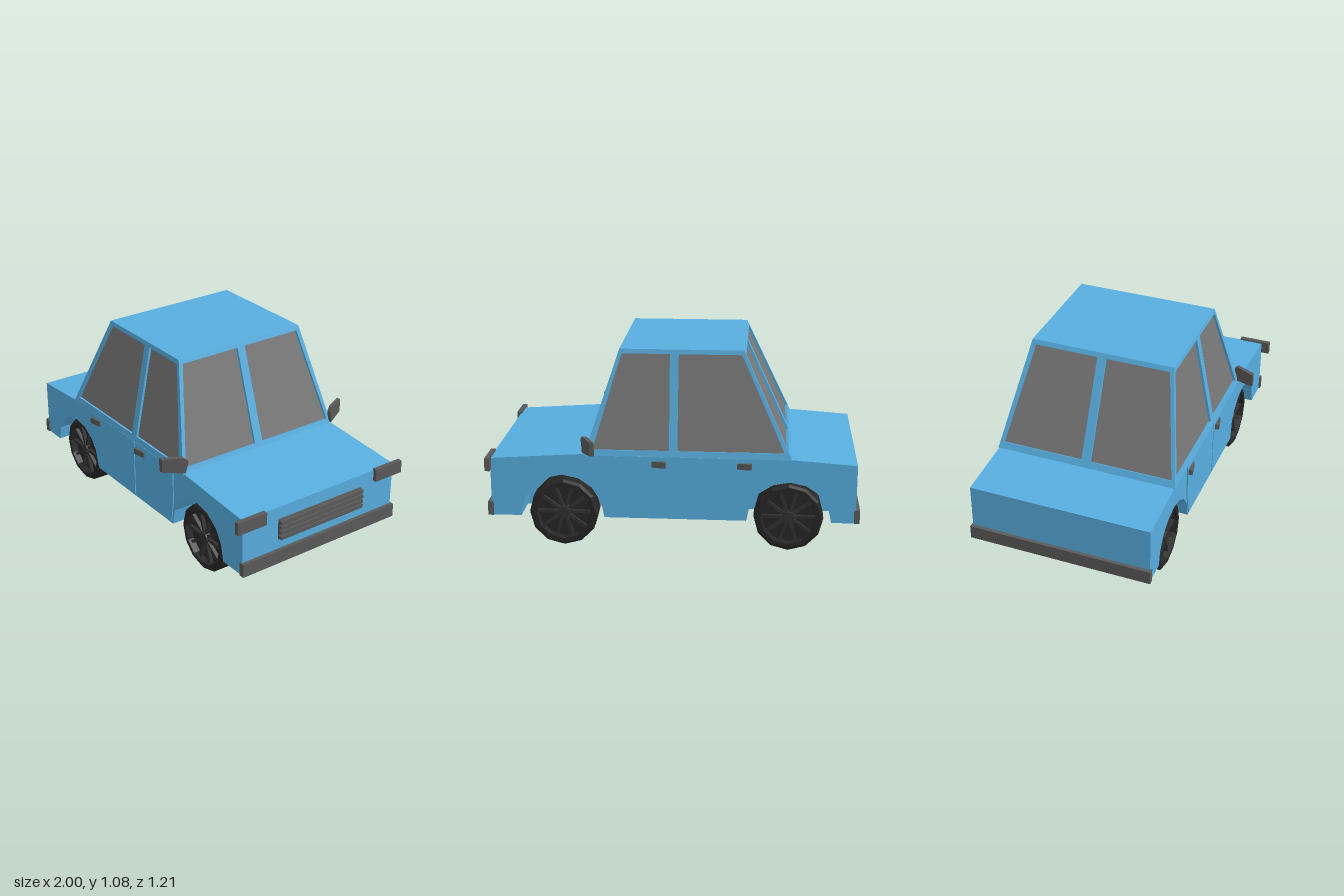
import * as THREE from 'three';

const mat = (color) => new THREE.MeshStandardMaterial({ color, flatShading: true });
const PAINT = mat(0x58aee0), GLASS = mat(0x777777), TRIM = mat(0x5a5a5a), TYRE = mat(0x262626), RIM = mat(0x303030);
const V = (x, y, z) => new THREE.Vector3(x, y, z);
const toShape = (pts) => new THREE.Shape(pts.map(([x, y]) => new THREE.Vector2(x, y)));

function add(parent, name, geometry, material, x = 0, y = 0, z = 0) {
  const mesh = new THREE.Mesh(geometry, material);
  mesh.name = name;
  mesh.position.set(x, y, z);
  parent.add(mesh);
  return mesh;
}
const box = (parent, name, m, x0, x1, y0, y1, z0, z1) =>
  add(parent, name, new THREE.BoxGeometry(x1 - x0, y1 - y0, z1 - z0), m, (x0 + x1) / 2, (y0 + y1) / 2, (z0 + z1) / 2);

// Side outline extruded between two z values
function slab(parent, name, pts, z0, z1, material = PAINT) {
  const g = new THREE.ExtrudeGeometry(toShape(pts), { depth: z1 - z0, bevelEnabled: false });
  return add(parent, name, g, material, 0, 0, z0);
}

// Flat cabin panel with window openings, and recessed glass behind them.
// Corners run bottom left, bottom right, top right, top left seen from outside.
function panel(parent, name, [a, b, c, d], windows = []) {
  const u = b.clone().sub(a).normalize();
  const n = u.clone().cross(d.clone().sub(a)).normalize();
  const v = n.clone().cross(u);
  const flat = (p) => {
    const q = p.clone().sub(a);
    return new THREE.Vector2(q.dot(u), q.dot(v));
  };
  const at = (s, t) => flat(a.clone().lerp(b, s).lerp(d.clone().lerp(c, s), t));
  const outlines = windows.map(([bl, br, tr, tl]) => [at(bl, 0.06), at(br, 0.06), at(tr, 0.957), at(tl, 0.957)]);
  const frame = new THREE.Shape([a, b, c, d].map(flat));
  frame.holes = outlines.map((o) => new THREE.Path(o));
  const place = new THREE.Matrix4().makeBasis(u, v, n).setPosition(a);
  const frameGeo = new THREE.ExtrudeGeometry(frame, { depth: 0.02, bevelEnabled: false });
  add(parent, name, frameGeo.translate(0, 0, -0.02).applyMatrix4(place), PAINT);
  outlines.forEach((o) => {
    const pane = new THREE.ShapeGeometry(new THREE.Shape(o)).translate(0, 0, -0.014);
    add(parent, name + 'Glass', pane.applyMatrix4(place), GLASS);
  });
}

const FLOOR = 0.18, WIDTH = 0.5, WELL = 0.32;
const AXLES = [[-0.625, 0.22], [0.585, 0.235]]; // x and arch height

function buildBody(car) {
  const top = [[0.97, 0.5], [0.45, 0.535], [-0.63, 0.525], [-0.98, 0.5]];
  slab(car, 'bodyCore', [[-0.98, FLOOR], [0.97, FLOOR], ...top], -WELL, WELL);
  // Flanks with wheel arches cut out
  const sill = [[-0.98, FLOOR]];
  for (const [x, h] of AXLES)
    for (let i = 0; i <= 8; i++) {
      const k = Math.PI * (1 - i / 8);
      sill.push([x + 0.225 * Math.cos(k), FLOOR + h * Math.sin(k)]);
    }
  const flank = [...sill, [0.97, FLOOR], ...top];
  slab(car, 'flank', flank, WELL, WIDTH);
  slab(car, 'flank', flank, -WIDTH, -WELL);
  // Slightly raised doors leave seams between them
  const rearDoor = [[-0.392, 0.195], [-0.004, 0.195], [-0.004, 0.527], [-0.435, 0.525], [-0.425, 0.31]];
  const frontDoor = [[0.004, 0.195], [0.352, 0.195], [0.37, 0.32], [0.37, 0.527], [0.004, 0.527]];
  for (const z of [WIDTH, -WIDTH - 0.006]) {
    slab(car, 'rearDoor', rearDoor, z, z + 0.006);
    slab(car, 'frontDoor', frontDoor, z, z + 0.006);
  }
}

function buildCabin(car) {
  const ring = (x0, x1, y, z) => [V(x0, y, z), V(x1, y, z), V(x1, y, -z), V(x0, y, -z)];
  const lo = ring(-0.635, 0.465, 0.525, 0.505), hi = ring(-0.375, 0.28, 1.085, 0.397);
  const sideWindows = [[0.022, 0.548, 0.525, 0.02], [0.588, 0.968, 0.975, 0.593]];
  const endWindows = [[0.02, 0.475, 0.47, 0.03], [0.525, 0.98, 0.97, 0.53]];
  const flipped = sideWindows.map(([a, b, c, d]) => [1 - b, 1 - a, 1 - d, 1 - c]);
  const walls = [['sideFrame', sideWindows], ['windscreenFrame', endWindows], ['sideFrame', flipped], ['rearFrame', endWindows]];
  walls.forEach(([name, windows], i) => {
    const j = (i + 1) % 4;
    panel(car, name, [lo[i], lo[j], hi[j], hi[i]], windows);
  });
  panel(car, 'roof', hi);
}

function buildTrim(car) {
  box(car, 'frontBumper', TRIM, 0.96, 0.99, FLOOR, 0.255, -0.508, 0.508);
  box(car, 'rearBumper', TRIM, -1, -0.97, FLOOR, 0.255, -0.508, 0.508);
  box(car, 'grillePlate', TRIM, 0.96, 0.98, 0.315, 0.43, -0.275, 0.275);
  for (let i = 0; i < 4; i++) {
    const y = 0.329 + i * 0.029;
    box(car, 'grilleSlat', TRIM, 0.97, 0.998, y - 0.01, y + 0.01, -0.275, 0.275);
  }
  // Mirror outline in (z, y), sheared backwards as it leaves the body
  const outline = [[0.48, 0.61], [0.495, 0.54], [0.605, 0.555], [0.605, 0.63], [0.5, 0.63]];
  for (const s of [1, -1]) {
    box(car, 'headlight', TRIM, 0.965, 0.992, 0.44, 0.51, s > 0 ? 0.365 : -0.545, s > 0 ? 0.545 : -0.365);
    for (const x of [-0.388, 0.065]) {
      const handle = add(car, 'doorHandle', new THREE.BoxGeometry(0.075, 0.032, 0.022), TRIM, x, 0.487, s * 0.51);
      handle.rotation.y = s * 0.2;
    }
    const g = new THREE.ExtrudeGeometry(toShape(outline.map(([z, y]) => [-s * z, y])), { depth: 0.025, bevelEnabled: false });
    g.rotateY(Math.PI / 2);
    const p = g.attributes.position;
    for (let i = 0; i < p.count; i++) p.setX(i, p.getX(i) + 0.453 - (Math.abs(p.getZ(i)) - 0.49) * 0.5);
    g.computeVertexNormals();
    add(car, 'wingMirror', g, TRIM);
  }
}

function buildWheel(car, x, s) {
  const wheel = new THREE.Group();
  wheel.name = 'wheel';
  wheel.position.set(x, 0.19, s * 0.41);
  wheel.rotation.x = s * Math.PI / 2;
  car.add(wheel);
  const profile = [[0, -0.06], [0.172, -0.06], [0.186, -0.05], [0.186, 0.05], [0.172, 0.06], [0.15, 0.06], [0.143, 0.025], [0, 0.025]];
  add(wheel, 'tyre', new THREE.LatheGeometry(profile.map(([r, y]) => new THREE.Vector2(r, y)), 12), TYRE);
  add(wheel, 'hub', new THREE.CylinderGeometry(0.03, 0.038, 0.03, 12), RIM, 0, 0.038, 0);
  for (let i = 0; i < 10; i++) {
    const spoke = new THREE.BoxGeometry(0.125, 0.022, 0.016).translate(0.083, 0.034, 0);
    add(wheel, 'spoke', spoke, RIM).rotation.y = (i / 10) * Math.PI * 2;
  }
  // Axle stub tapering inwards
  add(wheel, 'axleStub', new THREE.ConeGeometry(0.036, 0.16, 10).rotateX(Math.PI), TYRE, 0, -0.14, 0);
}

export function createModel() {
  const car = new THREE.Group();
  car.name = 'car';
  buildBody(car);
  buildCabin(car);
  buildTrim(car);
  for (const [x] of AXLES) for (const s of [1, -1]) buildWheel(car, x, s);
  return car;
}
